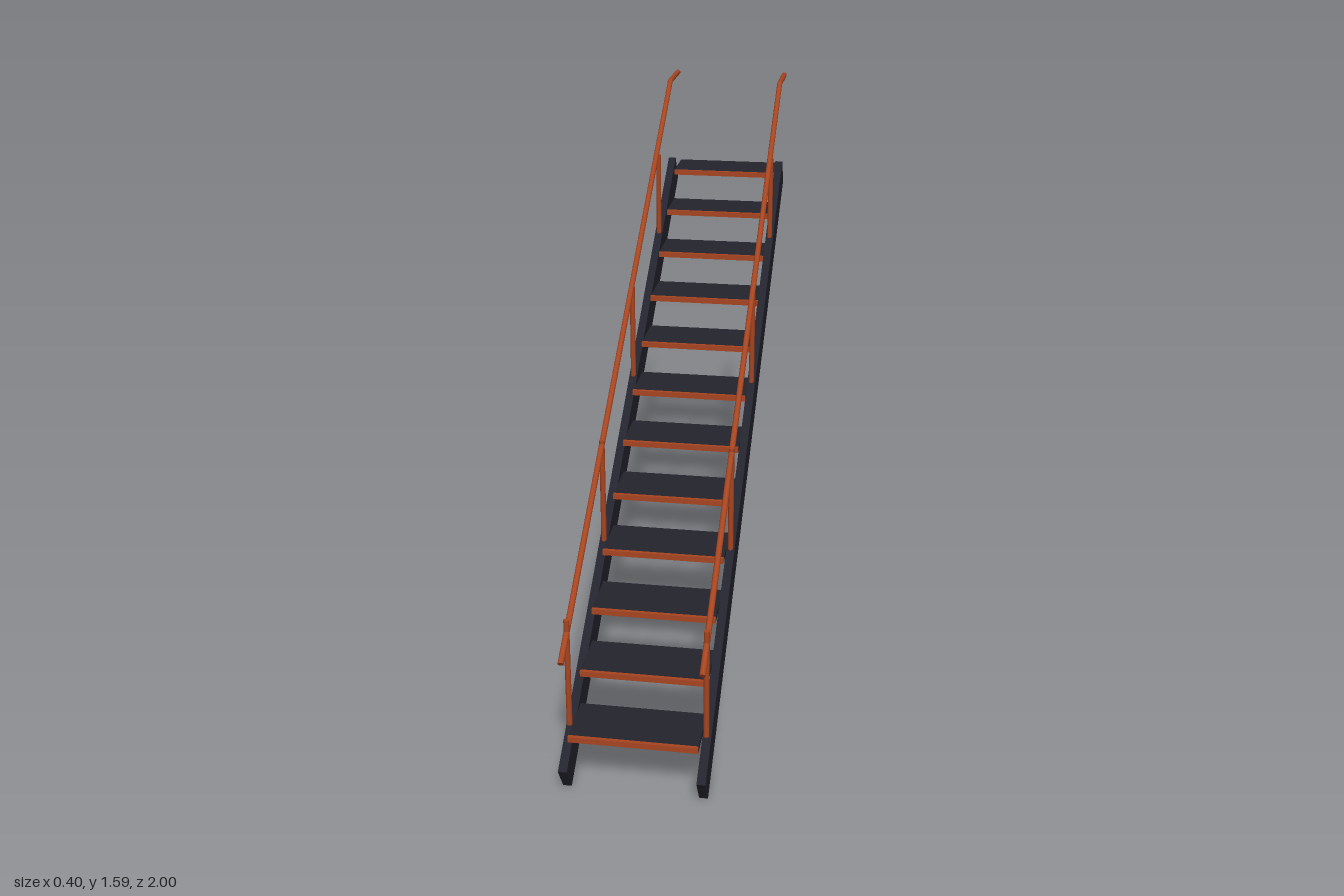
import * as THREE from 'three';

const STEPS = 12, RISE = 0.0993, RUN = 0.1648;
const SIDE_X = 0.186, SLOPE = Math.atan2(1.224, 1.867);

export function createModel() {
  const group = new THREE.Group();
  const darkSteel = new THREE.MeshStandardMaterial({ color: 0x24242e });
  const rustOrange = new THREE.MeshStandardMaterial({ color: 0xa84520 });

  const add = (name, geometry, material, x, y, z) => {
    const mesh = new THREE.Mesh(geometry, material);
    mesh.name = name;
    mesh.position.set(x, y, z);
    group.add(mesh);
    return mesh;
  };

  // Round bar between two points
  const bar = (name, a, b, radius) => {
    const dir = b.clone().sub(a);
    const mid = a.clone().add(b).multiplyScalar(0.5);
    const mesh = add(name, new THREE.CylinderGeometry(radius, radius, dir.length(), 12), rustOrange, mid.x, mid.y, mid.z);
    mesh.quaternion.setFromUnitVectors(new THREE.Vector3(0, 1, 0), dir.normalize());
  };

  // Treads, each with a coloured nosing along its front edge
  for (let i = 0; i < STEPS; i++) {
    const y = 0.168 + i * RISE, front = 0.976 - i * RUN;
    add('tread', new THREE.BoxGeometry(0.35, 0.015, 0.153), darkSteel, 0, y, front - 0.0865);
    add('nosing', new THREE.BoxGeometry(0.35, 0.016, 0.011), rustOrange, 0, y, front - 0.0055);
  }

  for (const side of [-1, 1]) {
    const x = side * SIDE_X;

    // Sloping side beam
    const stringer = add('stringer', new THREE.BoxGeometry(0.024, 0.096, 2.232), darkSteel, x, 0.653, 0.041);
    stringer.rotation.x = SLOPE;

    // Handrail: sloping run, then a short level end
    const low = new THREE.Vector3(x, 0.4, 0.977);
    const bend = new THREE.Vector3(x, 1.578, -0.833);
    const end = new THREE.Vector3(x, 1.578, -1);
    bar('handrail', low, bend, 0.0085);
    bar('handrailEnd', bend, end, 0.0085);
    add('handrailBend', new THREE.SphereGeometry(0.0085, 12, 8), rustOrange, x, bend.y, bend.z);

    // Posts on every third tread
    for (let i = 0; i < 4; i++) {
      const y = 0.165 + i * 3 * RISE, z = 0.9 - i * 3 * RUN;
      bar('post', new THREE.Vector3(x, y, z), new THREE.Vector3(x, y + 0.322, z), 0.008);
    }
  }
  return group;
}
